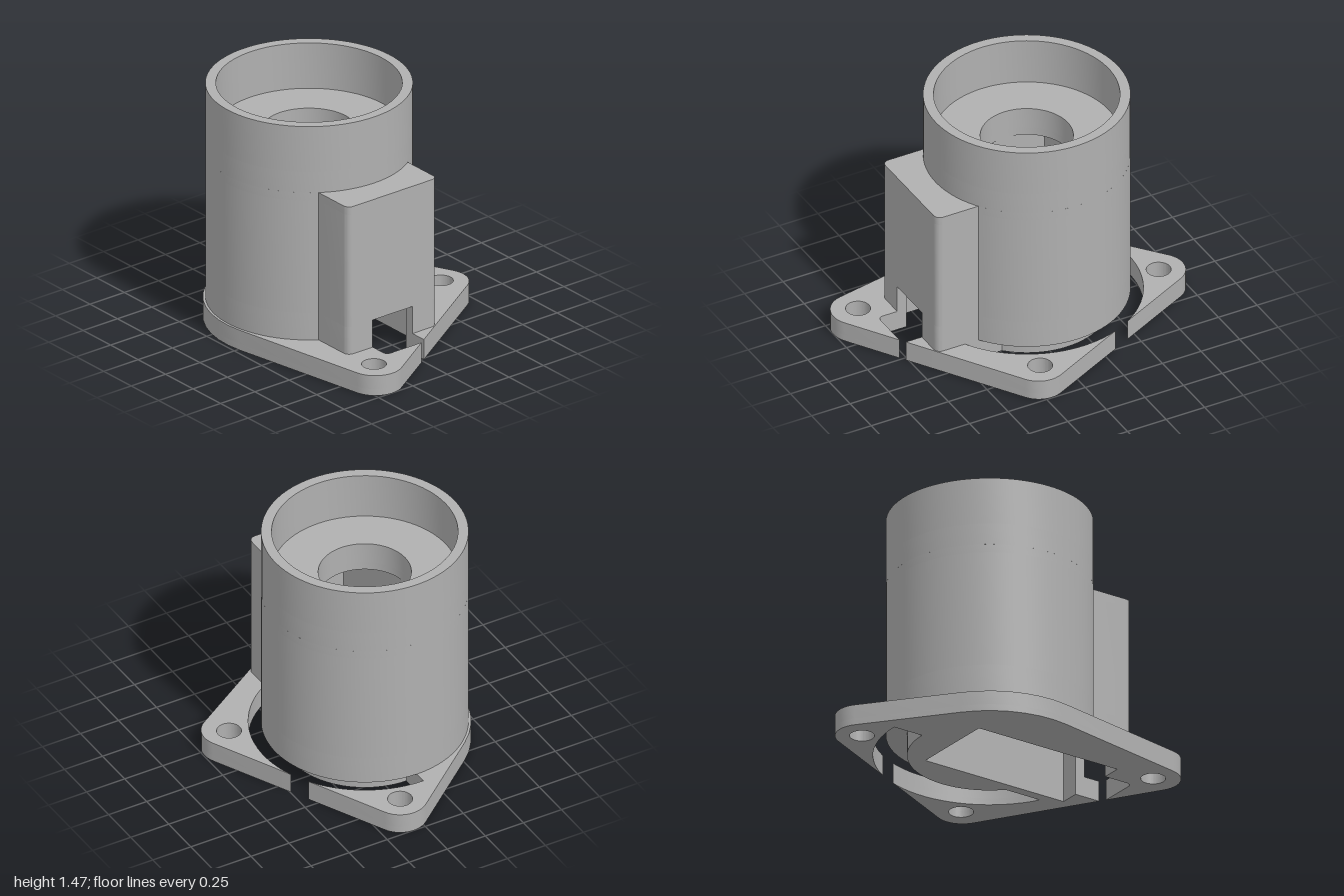
import * as THREE from 'three';
import { toCreasedNormals } from 'three/addons/utils/BufferGeometryUtils.js';

// Plan coordinates are [x, -z]; every part is a plan outline extruded upward.
const AXIS = [-0.1, -0.125];
const LUG_BACK = { c: [0.215, 0.59], r: 0.155 };
const LUG_RIGHT = { c: [-0.845, 0.075], r: 0.155 };
const LUG_LEFT = { c: [0.845, -0.4], r: 0.157 };
const BELLY = { c: AXIS, r: 0.605 };
const PLATE_TOP = 0.125;

function arc([cx, cy], r, a0, a1, step = 0.08) {
  const n = Math.max(2, Math.ceil(Math.abs(a1 - a0) / step));
  return Array.from({ length: n + 1 }, (_, i) => {
    const a = a0 + ((a1 - a0) * i) / n;
    return [cx + r * Math.cos(a), cy + r * Math.sin(a)];
  });
}

const circle = (c, r) => arc(c, r, 0, Math.PI * 2).slice(0, -1);

// Angle of the outward normal of the outer tangent from circle p to circle q
function tangent(p, q) {
  const dx = q.c[0] - p.c[0], dy = q.c[1] - p.c[1];
  return Math.atan2(dy, dx) - Math.PI / 2 + Math.asin((p.r - q.r) / Math.hypot(dx, dy));
}

function corner(disc, a0, a1) {
  while (a1 < a0) a1 += Math.PI * 2;
  while (a1 > a0 + Math.PI * 2) a1 -= Math.PI * 2;
  return arc(disc.c, disc.r, a0, a1, 0.16);
}

function layer(name, outline, holes, y0, y1, material) {
  const vec = (pts) => pts.map(([x, y]) => new THREE.Vector2(x, y));
  const shape = new THREE.Shape(vec(outline));
  shape.holes = holes.map((h) => new THREE.Path(vec(h)));
  const geo = new THREE.ExtrudeGeometry(shape, { depth: y1 - y0, bevelEnabled: false });
  geo.rotateX(-Math.PI / 2);
  geo.translate(0, y0, 0);
  const mesh = new THREE.Mesh(toCreasedNormals(geo, 0.5), material);
  mesh.name = name;
  return mesh;
}

// Inside walls of the cavity, running from one side of the cable window to the other
function cavityWall(withPocket) {
  const pocket = withPocket ? [[-0.36, -0.2], [-0.52, -0.2], [-0.52, -0.05], [-0.36, -0.05]] : [];
  return [[0.6, -0.27], [0.6, -0.39], [-0.36, -0.39], ...pocket,
    [-0.36, 0.14], [0.6, 0.14], [0.6, 0.02]];
}

// Flange with three lugs, the curved slot and the cable notch
function plateOutline(withPocket) {
  const toRight = tangent(LUG_BACK, LUG_RIGHT);
  const toBelly = tangent(LUG_RIGHT, BELLY);
  const toLeft = tangent(BELLY, LUG_LEFT);
  const toBack = tangent(LUG_LEFT, LUG_BACK);

  // the slot's outer radius just breaks through the back edge
  const nx = Math.cos(toRight), ny = Math.sin(toRight);
  const edge = nx * (LUG_BACK.c[0] - AXIS[0]) + ny * (LUG_BACK.c[1] - AXIS[1]) + LUG_BACK.r;
  const gap = 0.09, slotOuter = edge / Math.cos(gap), slotInner = 0.47;
  const mid = (toRight + Math.PI * 2) % (Math.PI * 2);
  const slotEnd = (r) => Math.asin(0.325 / r);

  // the notch opens through the slanted side edge
  const ex = Math.cos(toBack), ey = Math.sin(toBack);
  const k = ex * LUG_BACK.c[0] + ey * LUG_BACK.c[1] + LUG_BACK.r;
  const notchX = 0.785;

  return [
    [(k - ey * 0.02) / ex, 0.02],
    ...corner(LUG_BACK, toBack, toRight),
    ...arc(AXIS, slotOuter, mid - gap, slotEnd(slotOuter)),
    ...arc(AXIS, slotInner, slotEnd(slotInner), Math.PI),
    ...arc(AXIS, slotOuter, Math.PI, mid + gap),
    ...corner(LUG_RIGHT, toRight, toBelly),
    ...corner(BELLY, toBelly, toLeft),
    ...corner(LUG_LEFT, toLeft, toBack),
    [notchX, (k - ex * notchX) / ey],
    ...arc([notchX - 0.03, -0.24], 0.03, 0, -Math.PI / 2, 0.4),
    ...cavityWall(withPocket),
  ];
}

// Round body merged with the rounded side box; extra points form the side face
function bodyOutline(extra = []) {
  const a = Math.asin(0.325 / 0.59);
  return [
    ...arc(AXIS, 0.59, a, Math.PI * 2 - a),
    ...arc([0.62, -0.41], 0.04, -Math.PI / 2, 0, 0.3),
    ...extra,
    ...arc([0.62, 0.16], 0.04, 0, Math.PI / 2, 0.3),
  ];
}

export function createModel() {
  const grey = new THREE.MeshStandardMaterial({ color: 0xb0b0b0 });
  grey.name = 'grey plastic';
  const group = new THREE.Group();
  group.name = 'flanged sensor housing';

  const screwHoles = [[0.205, 0.59], [-0.845, 0.075], [0.84, -0.405]].map((c) => circle(c, 0.071));
  const cavity = [[0.6, -0.39], [-0.36, -0.39], [-0.36, 0.14], [0.6, 0.14]];
  const bore = circle(AXIS, 0.265);
  const round = circle(AXIS, 0.59);
  const windowed = bodyOutline([[0.66, -0.27], ...cavityWall(false), [0.66, 0.02]]);

  group.add(
    layer('flangeBottom', plateOutline(false), screwHoles, 0, 0.04, grey),
    layer('flangeTop', plateOutline(true), screwHoles, 0.04, PLATE_TOP, grey),
    layer('bodyWithCableWindow', windowed, [], PLATE_TOP, 0.295, grey),
    layer('bodyAndSideBox', bodyOutline(), [cavity], 0.295, 1.0, grey),
    layer('sideBoxLid', bodyOutline(), [bore], 1.0, 1.05, grey),
    layer('cupFloor', round, [bore], 1.05, 1.18, grey),
    layer('cupRim', round, [circle(AXIS, 0.53)], 1.18, 1.465, grey),
  );
  return group;
}
